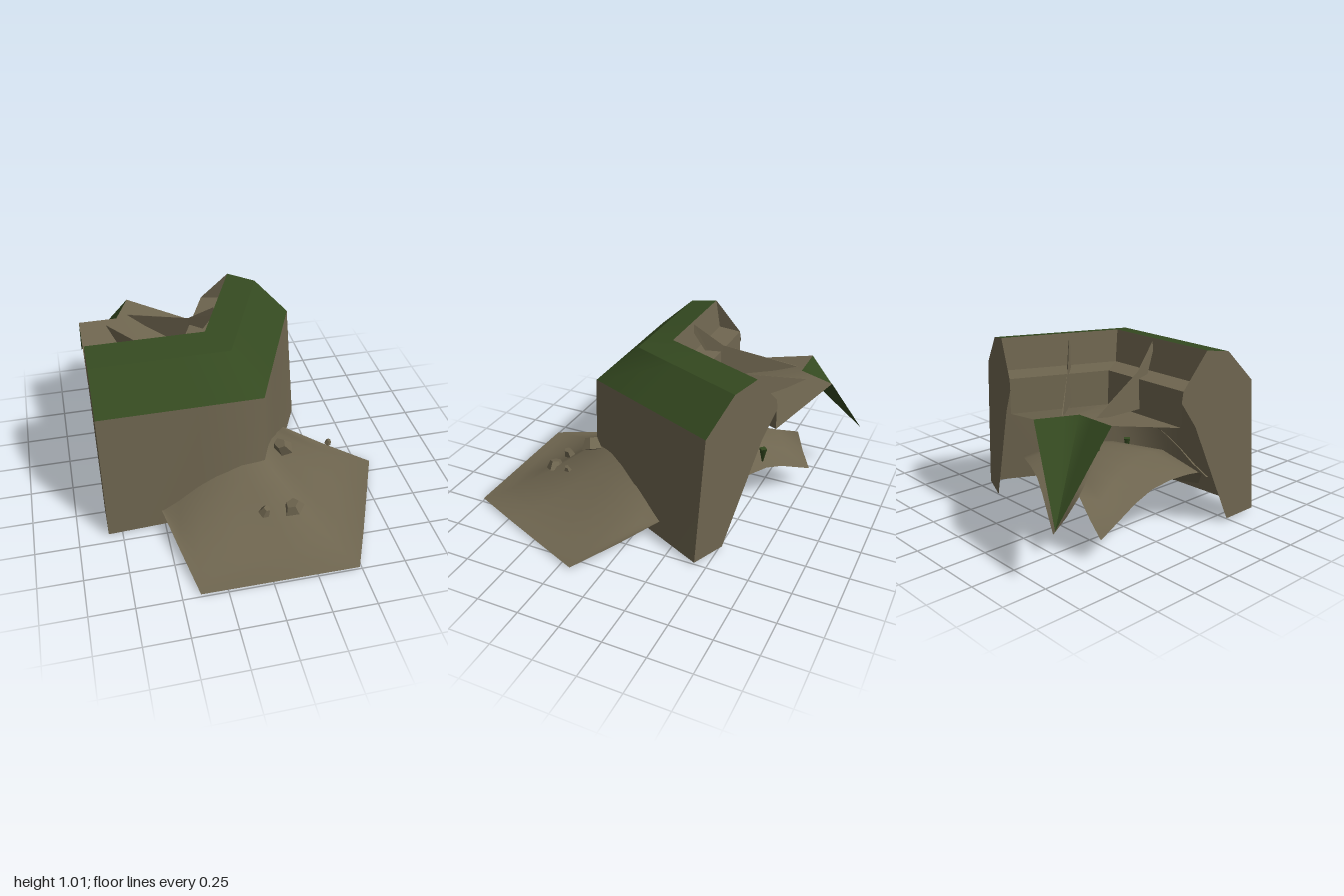
import * as THREE from 'three';

const stone = new THREE.MeshStandardMaterial({ color: 0x6e654f, side: THREE.DoubleSide });
stone.name = 'stone';
const grass = new THREE.MeshStandardMaterial({ color: 0x344920, side: THREE.DoubleSide });
grass.name = 'grass';

// The bastion is symmetric about a vertical plane through the inner apex.
const APEX = [-0.83, -1];
const DX = 0.551, DZ = 0.8345;
function mirror([x, y, z]) {
  const a = x - APEX[0], b = z - APEX[1];
  const k = 2 * (a * DX + b * DZ);
  return [APEX[0] + k * DX - a, y, APEX[1] + k * DZ - b];
}

// Half row, ending on the mitre, continued by its reflection
const whole = half => [...half, ...half.slice(0, -1).reverse().map(mirror)];

const lerp = (a, b, t) => a.map((v, i) => v + (b[i] - v) * t);

// Surface through rows of points, bottom row first, left to right
function sheet(rows, smooth = false) {
  const n = rows[0].length, index = [];
  for (let r = 0; r < rows.length - 1; r++) {
    for (let j = 0; j < n - 1; j++) {
      const a = r * n + j, b = a + 1, c = b + n, d = a + n;
      index.push(a, b, c, a, c, d);
    }
  }
  let g = new THREE.BufferGeometry();
  g.setAttribute('position', new THREE.Float32BufferAttribute(rows.flat(2), 3));
  g.setIndex(index);
  if (!smooth) g = g.toNonIndexed();
  g.computeVertexNormals();
  return g;
}

// Profile point: distance from the apex, height, and distance at the corner
function profileRow([s, y, corner = s]) {
  const end = [APEX[0], y, APEX[1] + s];
  const mitre = [APEX[0] + (corner * DX) / DZ, y, APEX[1] + corner];
  return whole([end, lerp(end, mitre, 0.6), mitre]);
}

function createModel() {
  const model = new THREE.Group();
  const add = (name, geometry, material) => {
    const m = new THREE.Mesh(geometry, material);
    m.name = name;
    model.add(m);
    return m;
  };
  const band = (name, points, material, smooth) =>
    add(name, sheet(points.map(profileRow), smooth), material);

  // Wall cross-section, from the outer foot up over the rampart and down inside
  const foot = [1.45, 0.015, 1.41], shoulder = [1.387, 0.79];
  const brow = [1.18, 0.983], rim = [1.01, 1.015];
  const inner = [rim, [0.98, 0.84], [0.84, 0.83], [0.83, 0.64]];
  band('outerWall', [foot, shoulder], stone, true);
  band('grassSlope', [shoulder, brow], grass, true);
  band('grassTop', [brow, rim], grass, true);
  band('innerSteps', inner, stone, false);
  band('innerFloor', [[0.83, 0.64], [0.35, 0.76]], stone, true);
  band('grassTip', [[0.35, 0.76], [0, 0.33]], grass, true);

  // Flat ends of the two arms; the wall is hollow and open below
  const section = [foot, shoulder, brow, rim, [0.84, 0.83], [0.83, 0.77], [0.94, 0.62], [1.23, 0.015]];
  const faces = THREE.ShapeUtils.triangulateShape(section.map(p => new THREE.Vector2(p[0], p[1])), []);
  const rightCap = faces.flat().map(i => [APEX[0], section[i][1], APEX[1] + section[i][0]]);
  const leftCap = rightCap.map(mirror).reverse();
  [['rightEnd', rightCap], ['leftEnd', leftCap]].forEach(([name, points]) => {
    const g = new THREE.BufferGeometry();
    g.setAttribute('position', new THREE.Float32BufferAttribute(points.flat(), 3));
    g.computeVertexNormals();
    add(name, g, stone);
  });

  // Thin ribs running from the rim over the ledge to the floor
  const ridge = [[-0.68, 0.74, -0.63], [-0.51, 0.87, -0.17], [-0.45, 1.0, 0]];
  const low = [0, 0.2, 0.05];
  const side = w => ridge.map(([x, y, z], i) => [x + (i === 1 ? w : w / 3), y - low[i], z]);
  const rib = [side(0.018), ridge, side(-0.018)];
  add('rightRib', sheet(rib), stone);
  add('leftRib', sheet(rib.map(r => r.map(mirror)).reverse()), stone);

  // Earth mound piled against the outside of the corner, hollowed most at its side corners
  const crest = whole([[-0.52, 0.12, 0.41], [-0.41, 0.18, 0.4], [-0.3, 0.25, 0.4], [-0.15, 0.33, 0.39],
    [-0.05, 0.37, 0.38], [0.081, 0.37, 0.38]]);
  const toe = whole([[-0.52, 0.12, 0.41], [-0.46, 0.06, 0.7], [-0.4, 0.015, 0.995], [-0.1, 0.015, 0.997],
    [0.2, 0.015, 0.998], [0.485, 0.015, 1.0]]);
  const mound = [];
  for (let r = 0; r <= 8; r++) {
    const w = r / 8;
    mound.push(toe.map((p, j) => {
      const hollow = 1.3 + 0.6 * Math.sin((Math.PI * Math.min(j, 10 - j)) / 5);
      const q = lerp(p, crest[j], w);
      q[1] = p[1] + (crest[j][1] - p[1]) * Math.pow(w, hollow);
      return q;
    }));
  }
  add('outerMound', sheet(mound, true), stone);

  // Earth shell inside: rises from the wall foot along a ridge, ending in a pair of drooping points
  const columns = [
    [[-0.52, 0.1, 0.34], [-0.693, 0.274, 0.139], [-0.715, 0.29, -0.25], [-0.738, 0.13, -0.634]],
    [[-0.23, 0.02, 0.4], [-0.45, 0.35, 0.1], [-0.53, 0.355, -0.28], [-0.67, 0.22, -0.645]],
    [[-0.043, 0.1, 0.193], [-0.2, 0.37, -0.046], [-0.38, 0.4, -0.32], [-0.605, 0.33, -0.66]],
  ].map(c => new THREE.CatmullRomCurve3(c.map(p => new THREE.Vector3(...p))));
  const shell = [];
  for (let r = 0; r <= 9; r++) {
    shell.push(whole(columns.map(c => c.getPoint(r / 9).toArray())));
  }
  add('innerMound', sheet(shell, true), stone);

  // Small grass tufts hanging through the shell
  [[-0.29, 0.35, -0.26], [-0.22, 0.34, -0.56], [-0.2, 0.31, 0.06]].forEach(p => {
    const g = new THREE.ConeGeometry(0.025, 0.11, 4);
    g.rotateX(Math.PI);
    add('hangingTuft', g, grass).position.set(...p);
  });

  // Loose angular rocks: position, half sizes, tilt
  const rocks = [
    [[0.2, 0.42, 0.37], [0.05, 0.035, 0.065], 0.6],
    [[0.2, 0.2, 0.64], [0.065, 0.025, 0.055], 0.3],
    [[0.04, 0.197, 0.64], [0.034, 0.022, 0.04], -0.4],
    [[0.475, 0.405, 0.38], [0.02, 0.012, 0.026], -0.3],
    [[0.04, 0.013, 0.55], [0.025, 0.012, 0.035], 0],
  ];
  rocks.forEach(([position, size, tilt]) => {
    const g = new THREE.CylinderGeometry(0.6, 1, 2, 5).toNonIndexed();
    g.scale(...size);
    g.computeVertexNormals();
    const rock = add('looseRock', g, stone);
    rock.position.set(...position);
    rock.rotation.set(0, tilt, tilt);
  });

  return model;
}

export { createModel };
